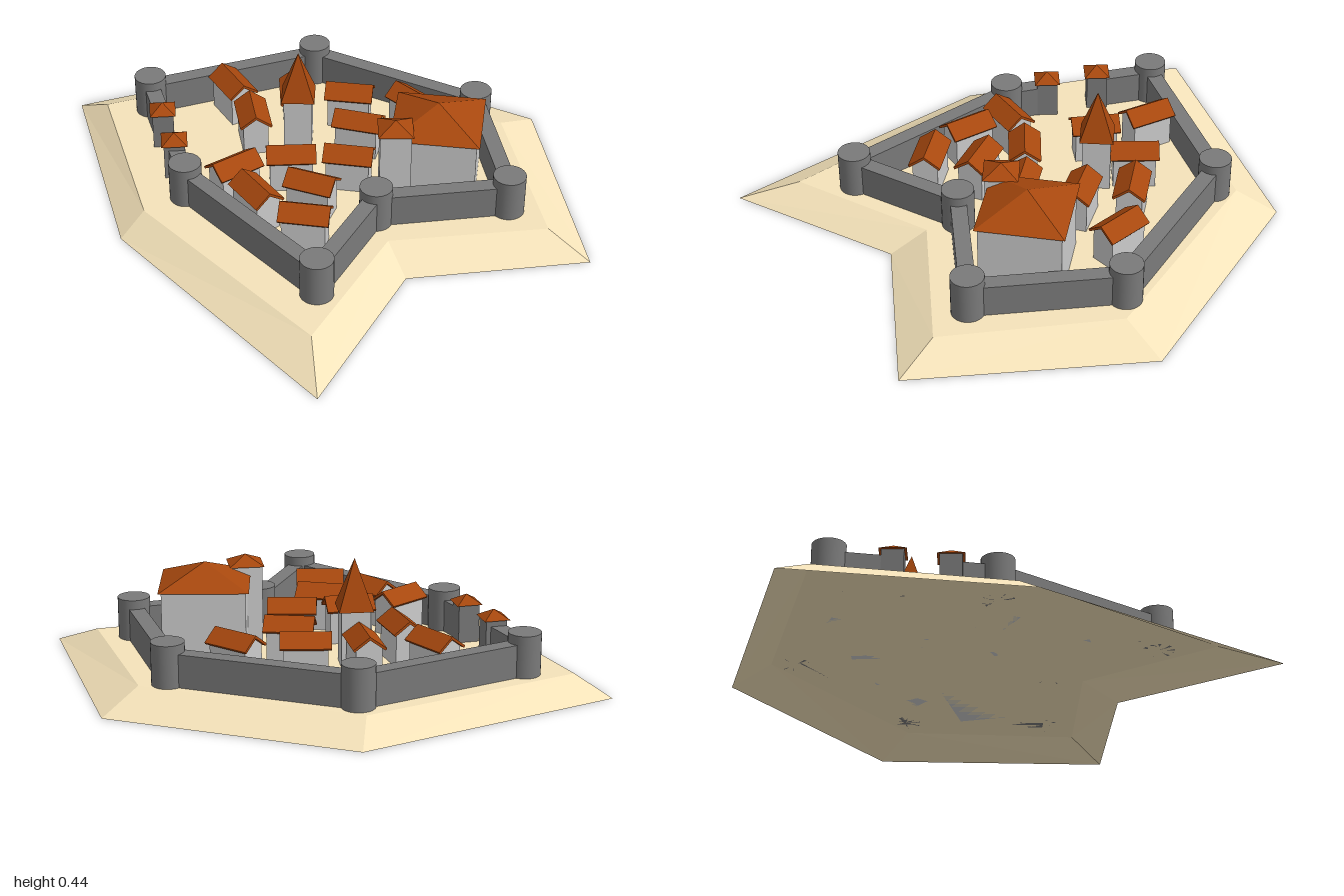
import * as THREE from 'three';

const GROUND = 0.065; // top of the mound, where every building stands

const mat = (color, side = THREE.FrontSide) => new THREE.MeshStandardMaterial({ color, side, flatShading: true });
const sand = mat(0xf5e3ba, THREE.DoubleSide);
const stone = mat(0x7a7a7a), plaster = mat(0xcccccc), tile = mat(0xa8480e);
const roundStone = new THREE.MeshStandardMaterial({ color: 0x7a7a7a });

function add(parent, name, geometry, material, x = 0, y = 0, z = 0) {
  const mesh = new THREE.Mesh(geometry, material);
  mesh.name = name;
  mesh.position.set(x, y, z);
  parent.add(mesh);
  return mesh;
}

// Group turned so its own x axis points along the given plan angle (x towards z)
function place(parent, name, x, z, degrees) {
  const group = new THREE.Group();
  group.name = name;
  group.position.set(x, 0, z);
  group.rotation.y = -THREE.MathUtils.degToRad(degrees);
  parent.add(group);
  return group;
}

// Box standing on the mound
function block(parent, name, length, top, width, material) {
  const height = top - GROUND;
  add(parent, name, new THREE.BoxGeometry(length, height, width), material, 0, GROUND + height / 2, 0);
}

// Profile across the house, drawn out along x
function prism(points, length) {
  const shape = new THREE.Shape(points.map(([x, y]) => new THREE.Vector2(x, y)));
  return new THREE.ExtrudeGeometry(shape, { depth: length, bevelEnabled: false })
    .translate(0, 0, -length / 2).rotateY(Math.PI / 2);
}

// Flat polygon facing up
function plateau(points) {
  const shape = new THREE.Shape(points.map(([x, z]) => new THREE.Vector2(x, -z)));
  return new THREE.ShapeGeometry(shape).rotateX(-Math.PI / 2);
}

// Sloping bank between two outlines
function bank(low, high, height) {
  const pos = [];
  low.forEach((a, i) => {
    const j = (i + 1) % low.length;
    const [A, B] = [[a[0], 0, a[1]], [low[j][0], 0, low[j][1]]];
    const [C, D] = [[high[j][0], height, high[j][1]], [high[i][0], height, high[i][1]]];
    pos.push(...B, ...A, ...D, ...B, ...D, ...C);
  });
  const g = new THREE.BufferGeometry();
  g.setAttribute('position', new THREE.Float32BufferAttribute(pos, 3));
  g.computeVertexNormals();
  return g;
}

// Four-sided building with a pyramid roof; body and roof are [length, width]
function hippedTower(parent, name, [x, z, degrees], body, roof, eaves, apex, material) {
  const g = place(parent, name, x, z, degrees);
  block(g, name + 'Body', body[0], eaves, body[1], material);
  const cone = new THREE.ConeGeometry(Math.SQRT1_2, apex - eaves, 4)
    .rotateY(Math.PI / 4).scale(roof[0], 1, roof[1]);
  add(g, name + 'Roof', cone, tile, 0, (apex + eaves) / 2, 0);
}

// Straight wall between two plan points
function wall(parent, [x1, z1], [x2, z2]) {
  const dx = x2 - x1, dz = z2 - z1;
  const angle = THREE.MathUtils.radToDeg(Math.atan2(dz, dx));
  const g = place(parent, 'wall', (x1 + x2) / 2, (z1 + z2) / 2, angle);
  block(g, 'wallBody', Math.hypot(dx, dz), 0.181, 0.056, stone);
}

export function createModel() {
  const model = new THREE.Group();
  model.name = 'walledTown';

  // Mound, an open shell underneath
  const low = [[-0.49, -0.68], [0.39, -0.837], [1, -0.253], [0.56, 0.203], [0.68, 0.837], [-0.335, 0.638], [-1, 0.143]];
  const high = [[-0.43, -0.543], [0.36, -0.667], [0.83, -0.248], [0.44, 0.143], [0.53, 0.677], [-0.32, 0.532], [-0.86, 0.143]];
  const mound = new THREE.Group();
  mound.name = 'mound';
  model.add(mound);
  add(mound, 'moundSlope', bank(low, high, GROUND), sand);
  add(mound, 'moundTop', plateau(high), sand, 0, GROUND, 0);

  // Round towers and the walls between them
  const towers = [[-0.71, 0.06], [-0.37, -0.486], [0.283, -0.603], [0.663, -0.249], [0.342, 0.083], [0.417, 0.505], [-0.257, 0.382]];
  const towerHeight = 0.214 - GROUND;
  const towerGeometry = new THREE.CylinderGeometry(0.057, 0.057, towerHeight, 32);
  towers.forEach(([x, z], i) => {
    add(model, 'roundTower', towerGeometry, roundStone, x, GROUND + towerHeight / 2, z);
    if (i > 0) wall(model, towers[i - 1], towers[i]);
  });

  // Gate: two small towers with a gap between them
  const gates = [[-0.54, 0.182, 47], [-0.385, 0.294, 47]];
  wall(model, towers[0], gates[0]);
  wall(model, gates[1], towers[6]);
  for (const gate of gates) hippedTower(model, 'gateTower', gate, [0.075, 0.075], [0.092, 0.092], 0.202, 0.233, stone);

  // Houses: x, z, ridge angle
  const houses = [
    [0.118, -0.443, 7], [-0.09, -0.336, -30], [-0.25, -0.221, 49], [0.043, -0.213, -23],
    [-0.46, -0.116, 22], [-0.283, -0.016, 42], [0.139, -0.031, -29], [-0.021, 0.092, -41],
    [0.134, 0.172, -17], [-0.134, 0.264, 107], [0.016, 0.328, 17], [0.224, 0.322, -29],
  ];
  const houseBody = prism([[-0.045, GROUND], [0.045, GROUND], [0.045, 0.19], [0, 0.222], [-0.045, 0.19]], 0.15);
  const houseRoof = prism([[-0.058, 0.187], [0, 0.23], [0.058, 0.187], [0.053, 0.18], [0, 0.219], [-0.053, 0.18]], 0.174);
  for (const [x, z, angle] of houses) {
    const house = place(model, 'house', x, z, angle);
    add(house, 'houseBody', houseBody, plaster);
    add(house, 'houseRoof', houseRoof, tile);
  }

  // Church spire, keep and stair turret
  hippedTower(model, 'churchTower', [-0.16, -0.124, 54], [0.1, 0.1], [0.119, 0.119], 0.264, 0.44, plaster);
  hippedTower(model, 'keep', [0.361, -0.247, -30], [0.288, 0.28], [0.31, 0.302], 0.313, 0.385, plaster);
  hippedTower(model, 'keepTurret', [0.3, -0.08, -38], [0.108, 0.108], [0.122, 0.122], 0.345, 0.379, plaster);
  return model;
}
